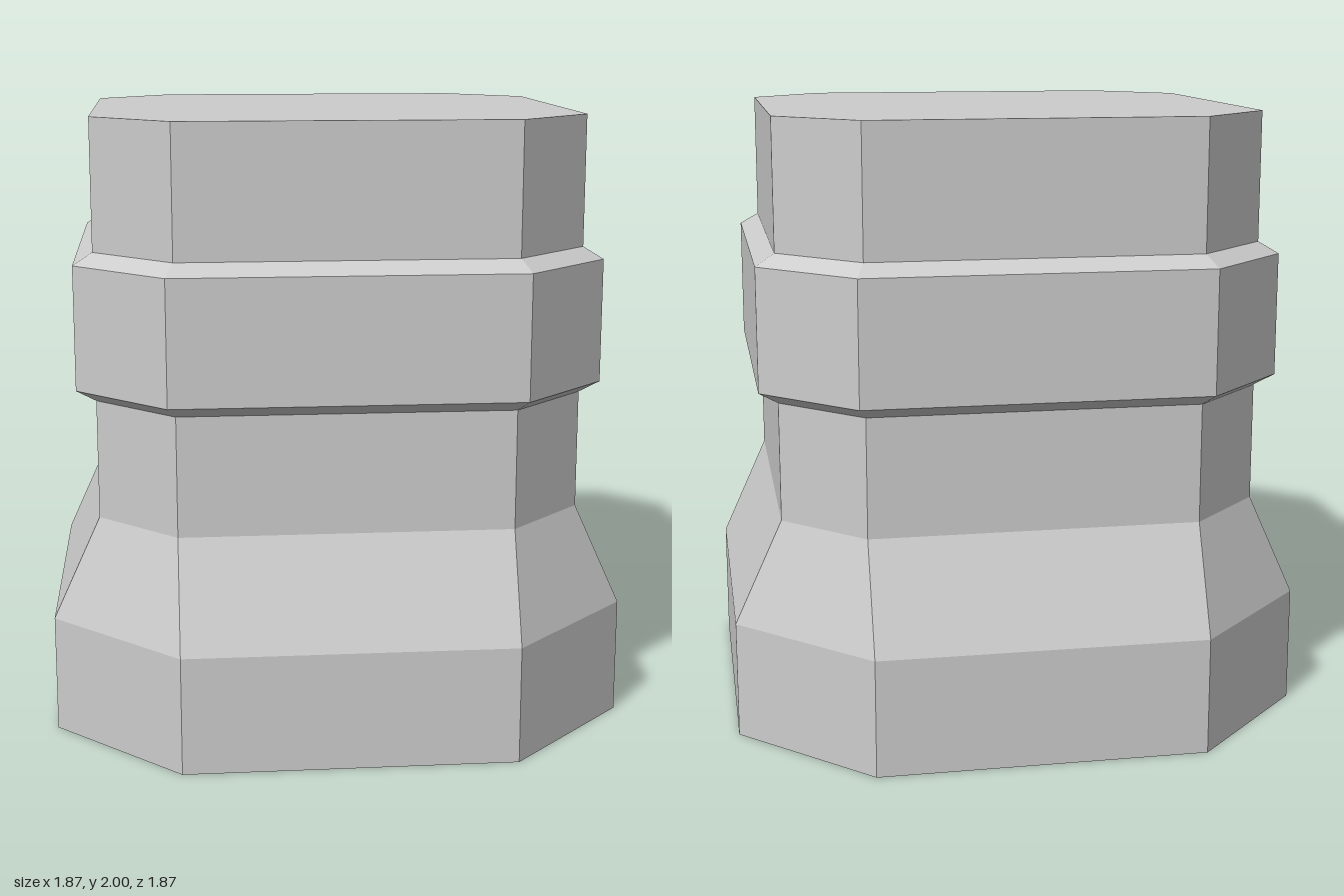
import * as THREE from 'three';

// Square of half-width w with chamfered corners; f is half the length of each flat side
function ring([y, w, f]) {
  return [[w, -f], [w, f], [f, w], [-f, w], [-w, f], [-w, -f], [-f, -w], [f, -w]]
    .map(([x, z]) => [x, y, z]);
}

// Flat-sided skin through a stack of sections, with optional end caps
function loft(name, sections, material, { bottom = false, top = false } = {}) {
  const rings = sections.map(ring);
  const positions = [];
  const tri = (...corners) => corners.forEach((c) => positions.push(...c));

  for (let s = 0; s < rings.length - 1; s++) {
    const lower = rings[s];
    const upper = rings[s + 1];
    for (let i = 0; i < 8; i++) {
      const j = (i + 1) % 8;
      tri(lower[i], upper[i], upper[j]);
      tri(lower[i], upper[j], lower[j]);
    }
  }
  const first = rings[0];
  const last = rings[rings.length - 1];
  for (let i = 1; i < 7; i++) {
    if (bottom) tri(first[0], first[i], first[i + 1]);
    if (top) tri(last[0], last[i + 1], last[i]);
  }

  const geometry = new THREE.BufferGeometry();
  geometry.setAttribute('position', new THREE.Float32BufferAttribute(positions, 3));
  geometry.computeVertexNormals();
  const mesh = new THREE.Mesh(geometry, material);
  mesh.name = name;
  return mesh;
}

export function createModel() {
  const model = new THREE.Group();
  model.name = 'octagonalPillar';

  const stone = new THREE.MeshStandardMaterial({ color: 0xcccccc });
  stone.name = 'light grey';
  stone.flatShading = true;

  // Sections are [height, half-width, half flat side]
  model.add(
    // Wide foot tapering into the shaft
    loft('base', [[0, 0.935, 0.53], [0.38, 0.935, 0.53], [0.72, 0.78, 0.53]], stone, { bottom: true }),
    // Neck between foot and collar
    loft('shaft', [[0.72, 0.78, 0.53], [1.105, 0.78, 0.53]], stone),
    // Raised collar with bevelled edges
    loft('collar', [[1.105, 0.78, 0.53], [1.143, 0.842, 0.555], [1.542, 0.842, 0.555], [1.58, 0.78, 0.53]], stone),
    // Top block
    loft('cap', [[1.58, 0.78, 0.53], [2, 0.78, 0.53]], stone, { top: true }),
  );
  return model;
}
